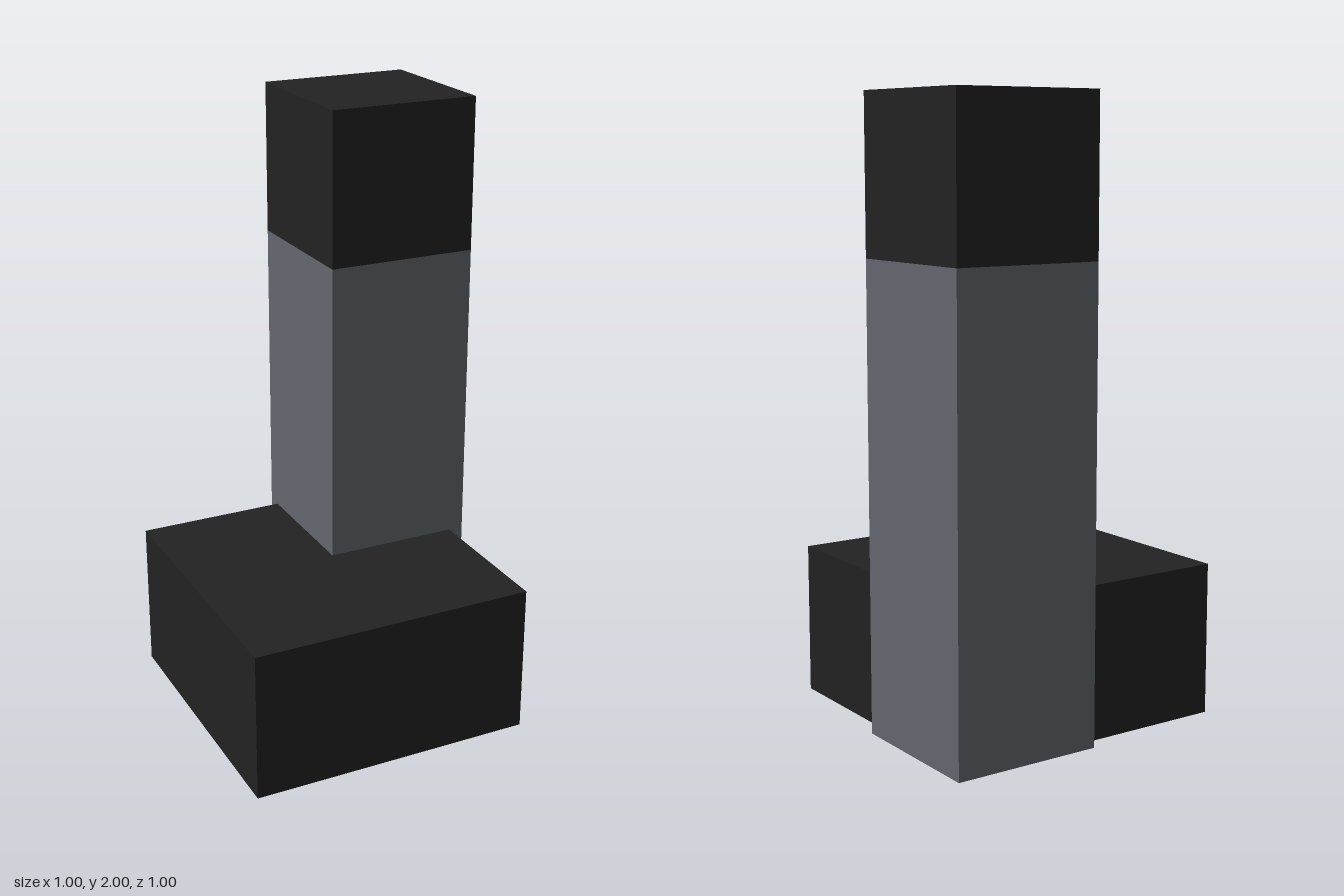
import * as THREE from 'three';

const black = new THREE.MeshStandardMaterial({ color: 0x222222, side: THREE.DoubleSide });
black.name = 'black';
const slateGrey = new THREE.MeshStandardMaterial({ color: 0x63676e, side: THREE.DoubleSide });
slateGrey.name = 'slate grey';

// Box spanning min to max that keeps its four walls and, if asked, its lid
function hollowBox(name, min, max, material, lid = false) {
  const size = max.map((v, i) => v - min[i]);
  const geometry = new THREE.BoxGeometry(...size);
  const index = Array.from(geometry.index.array);
  // Face order: +x, -x, +y, -y, +z, -z, six indices each
  const faces = lid ? [0, 1, 2, 4, 5] : [0, 1, 4, 5];
  geometry.clearGroups();
  geometry.setIndex(faces.flatMap((f) => index.slice(f * 6, f * 6 + 6)));
  geometry.translate(...min.map((v, i) => v + size[i] / 2));
  const mesh = new THREE.Mesh(geometry, material);
  mesh.name = name;
  return mesh;
}

// Flat base panel with the corner under the tower left open
function basePanel(name, y, facing) {
  // Shape coordinates are x and -z for the top, x and z for the underside
  const outline = [[-0.5, 0.5], [0.45, 0.5], [0.45, 0], [0, 0], [0, -0.45], [-0.5, -0.45]];
  const shape = new THREE.Shape(outline.map(([x, z]) => new THREE.Vector2(x, -facing * z)));
  const geometry = new THREE.ShapeGeometry(shape);
  geometry.rotateX(-facing * Math.PI / 2);
  geometry.translate(0, y, 0);
  const mesh = new THREE.Mesh(geometry, black);
  mesh.name = name;
  return mesh;
}

export function createModel() {
  const model = new THREE.Group();
  model.name = 'towerBlock';

  // Low square base
  const base = new THREE.Group();
  base.name = 'base';
  base.add(
    hollowBox('baseWalls', [-0.5, 0, -0.45], [0.45, 0.5, 0.5], black),
    basePanel('baseTop', 0.5, 1),
    basePanel('baseUnderside', 0, -1),
  );

  // Hollow tower, open at the bottom, with a dark cap
  const tower = new THREE.Group();
  tower.name = 'tower';
  tower.add(
    hollowBox('column', [0, 0, -0.5], [0.5, 1.5, 0], slateGrey),
    hollowBox('cap', [0, 1.5, -0.5], [0.5, 2, 0], black, true),
  );

  model.add(base, tower);
  return model;
}
